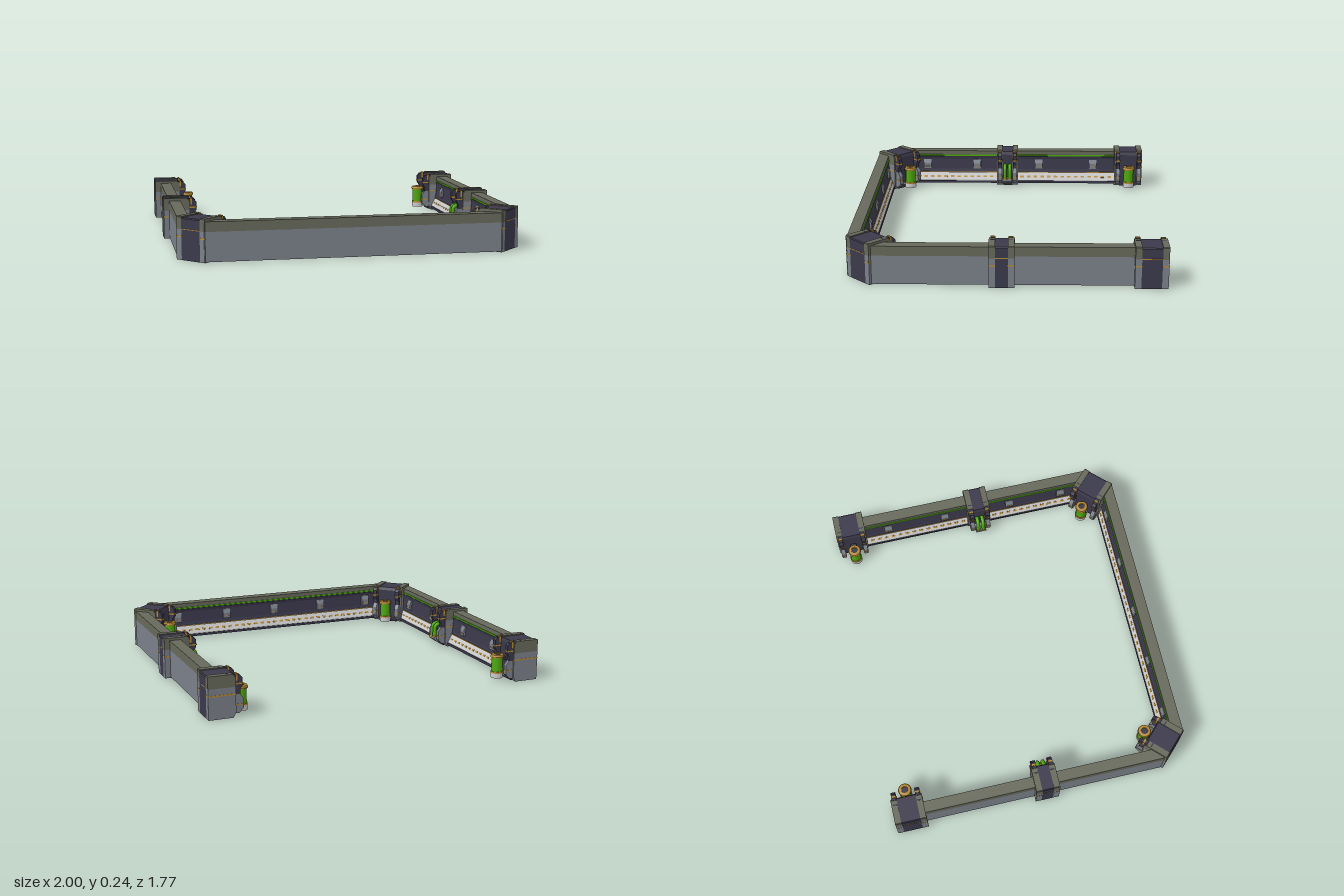
import * as THREE from 'three';

const mat = (color) => new THREE.MeshStandardMaterial({ color, flatShading: true });
const OLIVE = mat(0x67695b), GREY = mat(0x7b8089), DARK = mat(0x3b394b);
const GOLD = mat(0xb58a34), GREEN = mat(0x4fa80f), PALE = mat(0xcccccc);
const smoothGreen = new THREE.MeshStandardMaterial({ color: 0x4fa80f });

// Every part lives in a local frame: x = inward from the outer face, y = up, z = along the wall.
function add(parent, name, geometry, material, x = 0, y = 0, z = 0) {
  const m = new THREE.Mesh(geometry, material);
  m.name = name;
  m.position.set(x, y, z);
  parent.add(m);
  return m;
}

// Box given by its limits
function box(parent, name, material, [x0, x1], [y0, y1], [z0, z1]) {
  return add(parent, name, new THREE.BoxGeometry(x1 - x0, y1 - y0, z1 - z0), material,
    (x0 + x1) / 2, (y0 + y1) / 2, (z0 + z1) / 2);
}

// Cross-section (x, y) swept along z
function sweep(parent, name, material, points, z0, z1) {
  const shape = new THREE.Shape(points.map((p) => new THREE.Vector2(...p)));
  const g = new THREE.ExtrudeGeometry(shape, { depth: z1 - z0, bevelEnabled: false });
  return add(parent, name, g, material, 0, 0, z0);
}

function frame(root, name, x, z, turn) {
  const g = new THREE.Group();
  g.name = name;
  g.position.set(x, 0, z);
  g.rotation.y = turn;
  root.add(g);
  return g;
}

// Straight wall between two posts
function wall(root, name, x, z, turn, length, clips) {
  const g = frame(root, name, x, z, turn);
  const h = length / 2;
  sweep(g, 'wallBody', GREY, [[0, 0.005], [0.08, 0.005], [0.08, 0.06], [0.055, 0.08], [0.055, 0.17], [0, 0.17]], -h, h);
  sweep(g, 'wallCap', OLIVE, [[0, 0.17], [0.055, 0.17], [0.066, 0.2], [0.066, 0.225], [0, 0.225]], -h, h);
  sweep(g, 'innerPanel', DARK, [[0.055, 0.075], [0.078, 0.075], [0.072, 0.1], [0.066, 0.17], [0.07, 0.188], [0.055, 0.188]], -h, h);
  box(g, 'greenStrip', GREEN, [0.055, 0.071], [0.19, 0.199], [-h, h]);
  sweep(g, 'ledge', PALE, [[0.07, 0.02], [0.1, 0.02], [0.1, 0.03], [0.076, 0.076], [0.07, 0.076]], -h, h);
  box(g, 'ledgeEdge', DARK, [0.08, 0.105], [0.01, 0.025], [-h, h]);
  box(g, 'panelTrim', GOLD, [0.07, 0.08], [0.077, 0.081], [-h, h]);

  // Clips across the dark panel
  for (let i = 0; i < clips; i++) {
    const c = -h + (length * (i + 0.5)) / clips;
    sweep(g, 'clip', GREY, [[0.06, 0.1], [0.082, 0.105], [0.082, 0.14], [0.07, 0.165], [0.06, 0.165]], c - 0.025, c + 0.025);
    box(g, 'clipBand', GOLD, [0.06, 0.084], [0.118, 0.122], [c - 0.015, c + 0.015]);
  }
  // Dashes along the ledge
  const n = Math.round(length / 0.045);
  for (let i = 0; i < n; i++) {
    const c = -h + (length * (i + 0.5)) / n;
    const dash = box(g, 'ledgeDash', GOLD, [0.088, 0.091], [0.045, 0.057], [c - 0.012, c + 0.012]);
    dash.rotation.z = 0.48;
  }
}

// Upright canister with gold ends on a pale foot
function canister(g, x) {
  const rod = (name, r, y0, y1, m) =>
    add(g, name, new THREE.CylinderGeometry(r, r, y1 - y0, 16), m, x, (y0 + y1) / 2, 0);
  box(g, 'canisterBracket', GREY, [0.13, x], [0.025, 0.04], [-0.028, 0.028]);
  box(g, 'canisterUpperArm', DARK, [0.13, x - 0.01], [0.115, 0.13], [-0.018, 0.018]);
  rod('canisterFoot', 0.036, 0.012, 0.04, PALE);
  rod('canisterLowerRing', 0.037, 0.04, 0.05, GOLD);
  rod('canisterBody', 0.032, 0.05, 0.137, smoothGreen);
  const cap = [[0.018, 0.132], [0.038, 0.132], [0.04, 0.14], [0.036, 0.15], [0.02, 0.153], [0.018, 0.146]];
  add(g, 'canisterCap', new THREE.LatheGeometry(cap.map((p) => new THREE.Vector2(...p)), 16), GOLD, x);
  rod('canisterPlug', 0.02, 0.13, 0.148, DARK);
}

// Pair of bent hoses coming out of the middle posts
function hoses(g) {
  for (const z of [-0.016, 0.016]) {
    const path = new THREE.CatmullRomCurve3([[0.15, 0.14], [0.18, 0.14], [0.198, 0.128], [0.203, 0.1], [0.203, 0.06]]
      .map(([x, y]) => new THREE.Vector3(x, y, z)));
    add(g, 'hose', new THREE.TubeGeometry(path, 16, 0.012, 10), smoothGreen);
    add(g, 'hoseCollar', new THREE.CylinderGeometry(0.014, 0.014, 0.012, 10), GOLD, 0.203, 0.06, z);
  }
  sweep(g, 'hoseBracket', GREY, [[0.14, 0.015], [0.19, 0.025], [0.216, 0.045], [0.216, 0.058], [0.14, 0.058]], -0.032, 0.032);
}

// Post: dark core between two framed trims, with stepped buttresses inside
function post(root, name, x, z, turn, half, fitting) {
  const g = frame(root, name, x, z, turn);
  const t = 0.036, d = 0.15;
  sweep(g, 'core', DARK, [[0, 0], [d, 0], [d + 0.008, 0.03], [d + 0.008, 0.215], [d, 0.234], [0.005, 0.234], [0, 0.229]], -half, half);
  box(g, 'coreLine', GOLD, [-0.001, d], [0.169, 0.173], [-half, half]);
  for (const s of [-1, 1]) {
    const z0 = Math.min(s * half, s * (half + t)), z1 = z0 + t;
    sweep(g, 'trimBase', GREY, [[0, 0], [d - 0.01, 0], [d + 0.005, 0.03], [d + 0.005, 0.17], [0, 0.17]], z0, z1);
    sweep(g, 'trimCap', OLIVE, [[0, 0.17], [d + 0.005, 0.17], [d + 0.005, 0.22], [d - 0.01, 0.24], [0.004, 0.24], [0, 0.236]], z0, z1);
    box(g, 'trimBand', GOLD, [-0.001, d + 0.006], [0.126, 0.134], [z0 - 0.001, z1 + 0.001]);
    // Buttress, flaring towards the bottom
    const c = s * (half + t * 0.4), w = 0.013;
    sweep(g, 'buttress', GREY, [[d, 0.02], [0.175, 0.02], [0.2, 0.045], [0.2, 0.1], [0.182, 0.125], [d, 0.125]], c - w, c + w);
    sweep(g, 'buttressTop', DARK, [[d - 0.04, 0.125], [0.182, 0.125], [0.182, 0.15], [0.195, 0.17], [0.195, 0.215], [0.18, 0.232], [d - 0.04, 0.241]], c - w, c + w);
    box(g, 'buttressBand', GOLD, [d, 0.198], [0.18, 0.188], [c - w - 0.002, c + w + 0.002]);
    box(g, 'buttressTopBand', GOLD, [0.158, 0.168], [0.2, 0.24], [c - w - 0.001, c + w + 0.001]);
    box(g, 'buttressLowBand', GOLD, [d, 0.202], [0.066, 0.072], [c - w - 0.002, c + w + 0.002]);
  }
  fitting(g);
}

export function createModel() {
  const root = new THREE.Group();
  root.name = 'wallEnclosure';

  // Front wall
  wall(root, 'frontWall', 0, 0.88, Math.PI / 2, 1.67, 5);

  // Both sides
  for (const s of [-1, 1]) {
    const side = s < 0 ? 'right' : 'left';
    const turn = s < 0 ? 0 : Math.PI;
    const diagonal = s < 0 ? Math.PI / 4 : (3 * Math.PI) / 4;
    wall(root, side + 'RearWall', s * 0.965, -0.375, turn, 0.73, 2);
    wall(root, side + 'FrontWall', s * 0.965, 0.395, turn, 0.67, 2);
    post(root, side + 'EndPost', s, -0.795, turn, 0.056, (g) => canister(g, 0.212));
    post(root, side + 'MiddlePost', s * 0.998, 0.02, turn, 0.035, hoses);
    post(root, side + 'CornerPost', s * 0.902, 0.811, diagonal, 0.064, (g) => canister(g, 0.2));
  }
  return root;
}
